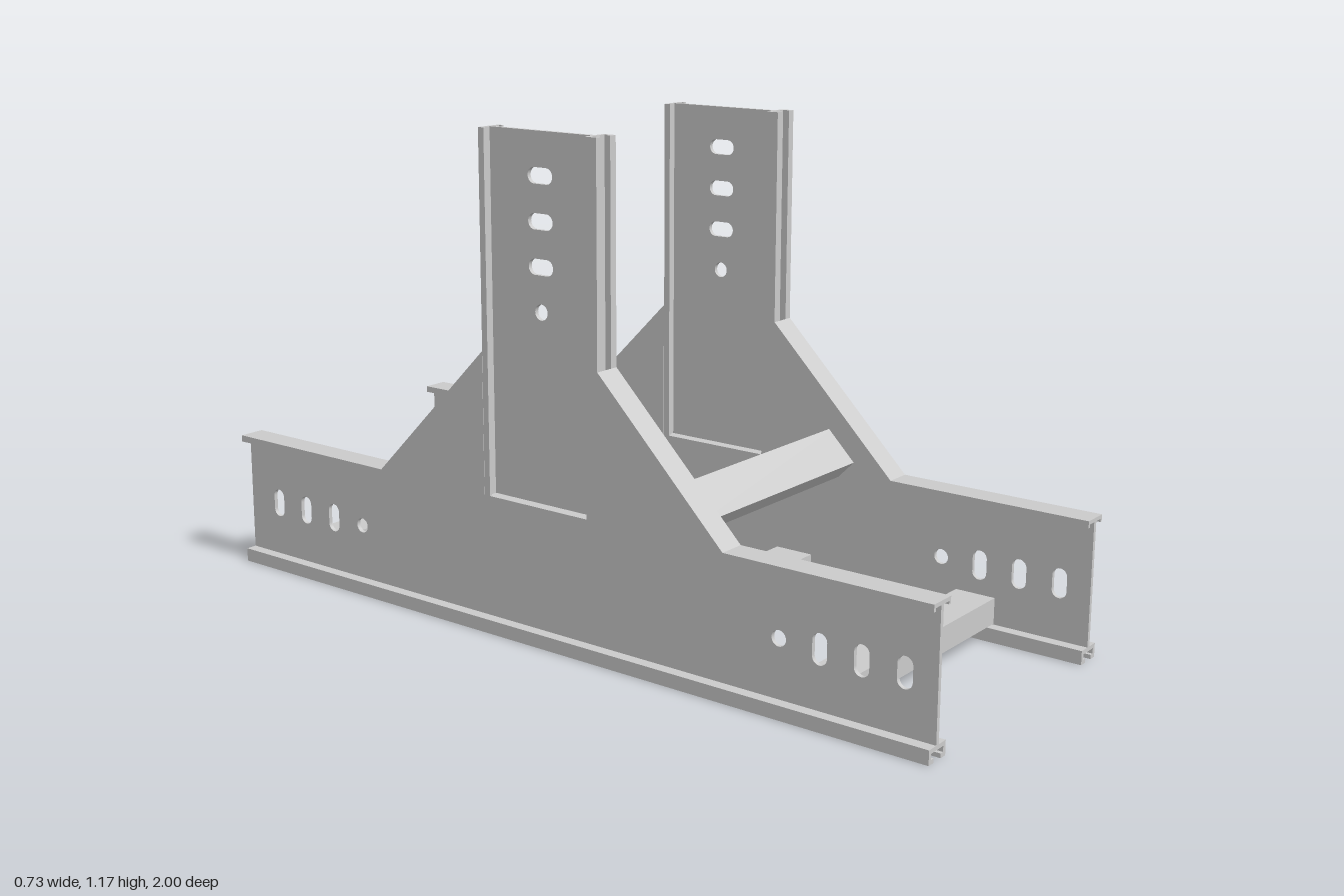
import * as THREE from 'three';

const mat = new THREE.MeshStandardMaterial({ color: 0xcccccc, flatShading: true });
const W = 0.0325;  // half width of the beam section
const H = 0.333;   // height of the beam section
const RAIL_X = 0.333;

function add(parent, name, geometry) {
  const mesh = new THREE.Mesh(geometry, mat);
  mesh.name = name;
  parent.add(mesh);
  return mesh;
}

const polygon = pts => new THREE.Shape(pts.map(p => new THREE.Vector2(...p)));

const extrude = (shape, depth) =>
  new THREE.ExtrudeGeometry(shape, { depth, bevelEnabled: false, curveSegments: 10 });

// Half outline mirrored about x = 0 into a closed section
const mirrored = half =>
  polygon([...half, ...half.slice().reverse().map(([x, y]) => [-x, y])]);

// Slotted channel, open towards y = 0
const channelSection = mirrored([
  [0.014, 0.01], [0.014, 0], [W, 0], [W, 0.033], [-W, 0.033], [-W, 0], [-0.014, 0],
  [-0.014, 0.01], [-0.0235, 0.01], [-0.0235, 0.023], [0.0235, 0.023], [0.0235, 0.01],
].slice(0, 4));
// inner cavity side of the channel outline
channelSection.curves = polygon([
  [0.014, 0.01], [0.014, 0], [W, 0], [W, 0.033], [-W, 0.033], [-W, 0], [-0.014, 0],
  [-0.014, 0.01], [-0.0235, 0.01], [-0.0235, 0.023], [0.0235, 0.023], [0.0235, 0.01],
  [0.014, 0.01],
]).curves;

// Flange with two short lips
const flangeSection = mirrored([
  [W - 0.007, 0.324], [W - 0.007, 0.317], [W, 0.317], [W, H],
]);

// Slot with round ends (long = 0 gives a round hole), long across the beam
function slot(a, b, r, long) {
  const h = long / 2;
  const path = new THREE.Path();
  path.absarc(a, b + h, r, 0, Math.PI, false);
  path.absarc(a, b - h, r, Math.PI, Math.PI * 2, false);
  path.closePath();
  return path;
}

// Beam along z: channel at the bottom, pierced web, lipped flange on top
function beam(name, length, slots, rounds, holeY) {
  const g = new THREE.Group();
  g.name = name;
  add(g, 'slottedChannel', extrude(channelSection, length));
  add(g, 'lippedFlange', extrude(flangeSection, length));
  const web = polygon([[0, 0.033], [length, 0.033], [length, 0.324], [0, 0.324]]);
  slots.forEach(a => web.holes.push(slot(a, holeY, 0.018, 0.034)));
  rounds.forEach(a => web.holes.push(slot(a, holeY, 0.018, 0)));
  add(g, 'web', extrude(web, 0.01).rotateY(-Math.PI / 2).translate(0.005, 0, 0));
  return g;
}

export function createModel() {
  const model = new THREE.Group();
  model.name = 'ladderFrame';

  for (const [side, s] of [['left', 1], ['right', -1]]) {
    // Long rail
    const rail = beam(side + 'Rail', 2, [0.1, 0.2, 0.3, 1.725, 1.825, 1.925], [0.4, 1.625], 0.167);
    rail.position.set(s * RAIL_X, 0, -1);
    model.add(rail);

    // Upright post, the same section turned on end
    const post = beam(side + 'Post', 0.834, [0.537, 0.637, 0.737], [0.437], 0.18);
    post.rotation.x = -Math.PI / 2;
    post.position.set(s * RAIL_X, H, 0.167);
    model.add(post);

    // Solid wedges bracing the post, front and back
    for (const [end, d] of [['Front', 1], ['Back', -1]]) {
      const wedge = polygon([[d * 0.167, H], [d * 0.5, H], [d * 0.167, 0.667]]);
      const geo = extrude(wedge, 2 * W).rotateY(-Math.PI / 2).translate(W, 0, 0);
      add(model, side + end + 'Gusset', geo).position.x = s * RAIL_X;
    }
  }

  // Flat rungs between the rails
  const rungLength = 0.656;
  for (const z of [-0.783, -0.283, 0.217, 0.717]) {
    add(model, 'rung', new THREE.BoxGeometry(rungLength, 0.062, 0.1)).position.set(0, 0.066, z);
  }

  // Tilted cross bars between the gussets
  for (const [name, y, z, tilt] of [
    ['frontCrossBar', 0.373, 0.342, 1], ['backCrossBar', 0.381, -0.362, -1],
  ]) {
    const bar = add(model, name, new THREE.BoxGeometry(rungLength, 0.06, 0.1));
    bar.position.set(0, y, z);
    bar.rotation.x = tilt * Math.PI / 4;
  }

  return model;
}
